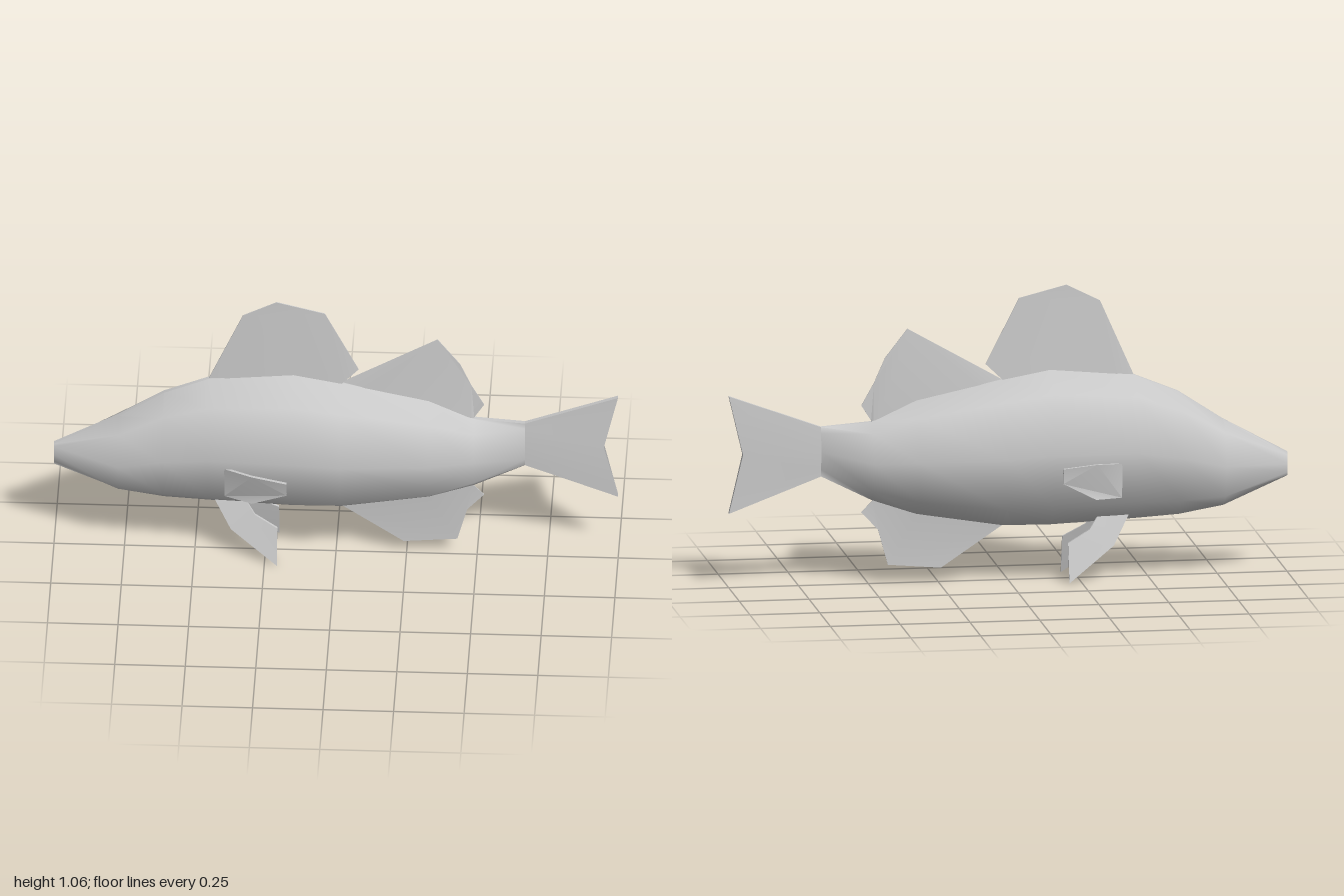
import * as THREE from 'three';
import { toCreasedNormals } from 'three/addons/utils/BufferGeometryUtils.js';

const material = new THREE.MeshStandardMaterial({ color: 0xcccccc, side: THREE.DoubleSide });

function addMesh(parent, name, geometry) {
  const mesh = new THREE.Mesh(geometry, material);
  mesh.name = name;
  parent.add(mesh);
}

function makeGeometry(positions, index) {
  const g = new THREE.BufferGeometry();
  g.setAttribute('position', new THREE.Float32BufferAttribute(positions, 3));
  g.setIndex(index);
  g.computeVertexNormals();
  return g;
}

// Ten-sided loft along x; each section is [x, top, bottom, halfWidth, notch].
function loft(sections) {
  // half ring: [height fraction, width fraction], bottom to top
  const half = [[0, 0], [0.14, 0.7], [0.5, 1], [0.875, 0.7], [1, 0]];
  const n = half.length * 2;
  const pos = [], idx = [];
  for (const [x, top, bottom, w, notch = 0] of sections) {
    const ridge = Math.min(0.008, w);
    const add = ([f, s], side) => pos.push(
      x - notch * (1 - 2 * Math.abs(f - 0.5)),
      bottom + (top - bottom) * f,
      side * Math.max(ridge, w * s));
    half.forEach(p => add(p, 1));
    [...half].reverse().forEach(p => add(p, -1));
  }
  for (let i = 0; i < sections.length - 1; i++) {
    for (let j = 0; j < n; j++) {
      const a = i * n + j, b = i * n + (j + 1) % n;
      idx.push(a, a + n, b, b, a + n, b + n);
    }
  }
  // Close both ends with strips between the two halves of the ring
  const last = (sections.length - 1) * n;
  for (let j = 0; j < half.length - 1; j++) {
    const k = n - 1 - j;
    idx.push(j, j + 1, k, j + 1, k - 1, k);
    idx.push(last + j, last + k, last + j + 1, last + j + 1, last + k, last + k - 1);
  }
  return toCreasedNormals(makeGeometry(pos, idx), 1.0);
}

// Thin fin from an outline of [x, y, z, halfThickness] corners.
function fin(outline) {
  const flat = outline.map(([x, y]) => new THREE.Vector2(x, y));
  if (THREE.ShapeUtils.isClockWise(flat)) {
    flat.reverse();
    outline = [...outline].reverse();
  }
  const n = outline.length, pos = [], idx = [];
  for (const side of [1, -1]) {
    for (const [x, y, z, t] of outline) pos.push(x, y, z + side * t);
  }
  for (const [a, p, q] of THREE.ShapeUtils.triangulateShape(flat, [])) {
    const turn = flat[p].clone().sub(flat[a]).cross(flat[q].clone().sub(flat[a]));
    const [b, c] = turn > 0 ? [p, q] : [q, p];
    idx.push(a, b, c, a + n, c + n, b + n);
  }
  for (let i = 0; i < n; i++) {
    const j = (i + 1) % n;
    idx.push(i, i + n, j, j, i + n, j + n);
  }
  return toCreasedNormals(makeGeometry(pos, idx), 0.6);
}

// Upright fin: sharp outer edge, thicker root sunk into the body.
function medianFin(edge, root) {
  return fin([
    ...edge.map(([x, y]) => [x, y, 0, 0.002]),
    ...root.map(([x, y]) => [x, y, 0, 0.011]),
  ]);
}

export function createModel() {
  const fish = new THREE.Group();
  fish.name = 'fish';

  // Body from snout to tail root
  addMesh(fish, 'body', loft([
    [-1, 0.435, 0.35, 0.016],
    [-0.77, 0.56, 0.25, 0.105],
    [-0.61, 0.665, 0.222, 0.123],
    [-0.45, 0.73, 0.212, 0.147],
    [-0.15, 0.757, 0.198, 0.17],
    [0.02, 0.727, 0.2, 0.162],
    [0.33, 0.66, 0.25, 0.13],
    [0.49, 0.587, 0.305, 0.08],
    [0.67, 0.573, 0.395, 0.013],
  ]));

  // Forked tail fin
  addMesh(fish, 'tailFin', loft([
    [0.67, 0.573, 0.395, 0.013],
    [1, 0.693, 0.27, 0.01, 0.05],
  ]));

  addMesh(fish, 'frontDorsalFin', medianFin(
    [[-0.45, 0.73], [-0.33, 1], [-0.21, 1.06], [-0.04, 1.017], [0.08, 0.782]],
    [[0.02, 0.725], [0, 0.68], [-0.4, 0.68]]));

  addMesh(fish, 'rearDorsalFin', medianFin(
    [[0.02, 0.725], [0.36, 0.918], [0.44, 0.815], [0.48, 0.725], [0.525, 0.645], [0.49, 0.59]],
    [[0.48, 0.55], [0.3, 0.6], [0.06, 0.67]]));

  addMesh(fish, 'analFin', medianFin(
    [[0.02, 0.2], [0.24, 0.052], [0.43, 0.068], [0.465, 0.195], [0.525, 0.26], [0.487, 0.3]],
    [[0.47, 0.35], [0.3, 0.3], [0.06, 0.25]]));

  // Paired fins
  for (const [name, s] of [['left', 1], ['right', -1]]) {
    // Pectoral fin flares out from the flank
    addMesh(fish, name + 'PectoralFin', fin([
      [-0.39, 0.435, 0.135], [-0.29, 0.447, 0.2], [-0.165, 0.44, 0.229],
      [-0.165, 0.385, 0.218], [-0.29, 0.315, 0.172], [-0.39, 0.31, 0.12],
    ].map(([x, y, z]) => [x, y, s * z, 0.006])));

    // Pelvic fin hangs below and splays outward
    addMesh(fish, name + 'PelvicFin', fin([
      [-0.43, 0.235, 0.028], [-0.32, 0.235, 0.032], [-0.285, 0.185, 0.052],
      [-0.205, 0.14, 0.068], [-0.205, 0.002, 0.104], [-0.37, 0.125, 0.058],
    ].map(([x, y, z]) => [x, y, s * z, y < 0.01 ? 0.002 : 0.005])));
  }
  return fish;
}
